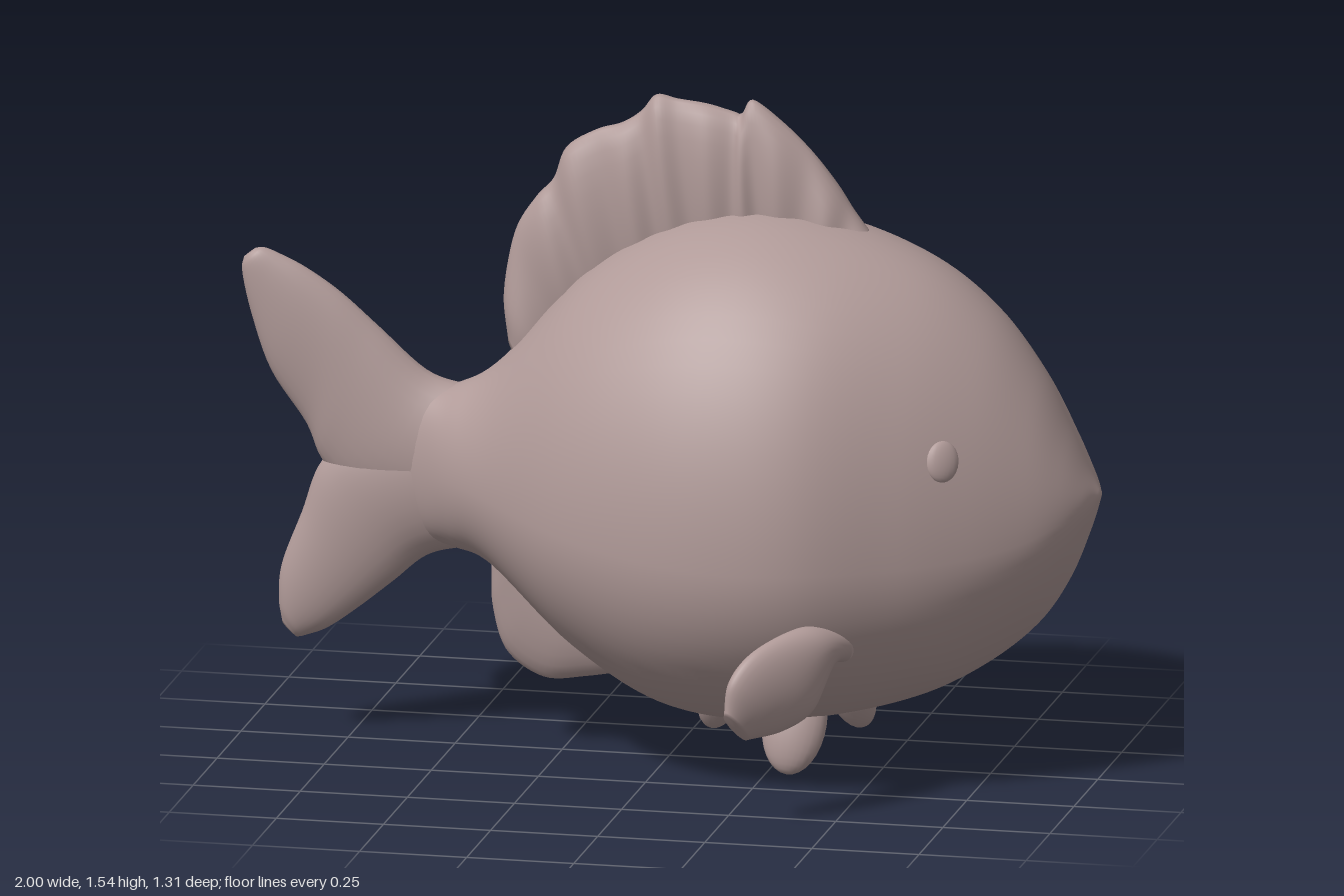
import * as THREE from 'three';

const MIDZ = -0.03; // the body's middle plane
const V = (a) => new THREE.Vector3(...a);
const spline = (pts) => new THREE.CatmullRomCurve3(pts, false, 'catmullrom');

// Closed smooth skin over rings: point(i, j) for ring i, corner j
function skin(rings, sides, point) {
  const pos = [], index = [];
  for (let i = 0; i < rings; i++)
    for (let j = 0; j < sides; j++) pos.push(...point(i, j).toArray());
  for (let i = 0; i < rings - 1; i++)
    for (let j = 0; j < sides; j++) {
      const a = i * sides + j, b = i * sides + (j + 1) % sides;
      index.push(a, a + sides, b, b, a + sides, b + sides);
    }
  const g = new THREE.BufferGeometry();
  g.setAttribute('position', new THREE.Float32BufferAttribute(pos, 3));
  g.setIndex(index);
  g.computeVertexNormals();
  return g;
}

// Fin: rows of [edge point, opposite edge point, half thickness], elliptical in section
function finGeometry(rows, steps = 40, sides = 28) {
  const P = spline(rows.map((r) => V(r[0])));
  const Q = spline(rows.map((r) => V(r[1])));
  const T = spline(rows.map((r) => new THREE.Vector3(r[2], 0, 0)));
  const centre = (u) => P.getPoint(u).add(Q.getPoint(u)).multiplyScalar(0.5);
  const across = P.getPoint(0.5).sub(Q.getPoint(0.5));
  const normal = across.cross(centre(1).sub(centre(0))).normalize();
  return skin(steps + 3, sides, (i, j) => {
    const u = THREE.MathUtils.clamp((i - 1) / steps, 0, 1);
    const size = i === 0 || i === steps + 2 ? 0 : 1; // closes both ends
    const a = (j / sides) * Math.PI * 2;
    const half = P.getPoint(u).sub(Q.getPoint(u)).multiplyScalar(0.5 * size);
    return centre(u).addScaledVector(half, Math.cos(a))
      .addScaledVector(normal, T.getPoint(u).x * size * Math.sin(a));
  });
}

// Body: egg-shaped sections, pinched under the lip
function bodyGeometry() {
  // x, bottom, top, half width, height of widest line
  const stations = [
    [-0.66, 0.51, 0.78, 0.05, 0.645], [-0.58, 0.47, 0.82, 0.085, 0.645],
    [-0.5, 0.455, 0.838, 0.145, 0.64], [-0.4, 0.42, 0.9, 0.225, 0.63],
    [-0.2, 0.25, 1.12, 0.395, 0.6], [0, 0.135, 1.24, 0.49, 0.575],
    [0.2, 0.105, 1.285, 0.53, 0.56], [0.4, 0.125, 1.262, 0.51, 0.56],
    [0.6, 0.18, 1.19, 0.41, 0.56], [0.75, 0.26, 1.08, 0.315, 0.57],
    [0.86, 0.355, 0.94, 0.23, 0.59], [0.93, 0.46, 0.81, 0.16, 0.62],
    [0.975, 0.57, 0.715, 0.09, 0.645], [1, 0.65, 0.668, 0.015, 0.66],
  ];
  const A = spline(stations.map((s) => V(s.slice(0, 3))));
  const B = spline(stations.map((s) => new THREE.Vector3(s[3], s[4], 0)));
  const steps = 90, sides = 64;
  return skin(steps + 3, sides, (i, j) => {
    const u = THREE.MathUtils.clamp((i - 1) / steps, 0, 1);
    const size = i === 0 || i === steps + 2 ? 0 : 1;
    const { x, y: bottom, z: top } = A.getPoint(u);
    const { x: width, y: mid } = B.getPoint(u);
    const a = (j / sides) * Math.PI * 2, c = Math.cos(a), s = Math.sin(a);
    const pinch = c < 0 ? 1 + 0.5 * THREE.MathUtils.smoothstep(x, 0.65, 0.95) : 1;
    const y = mid + size * c * (c > 0 ? top - mid : mid - bottom);
    const z = MIDZ - size * width * Math.sign(s) * Math.abs(s) ** pinch;
    return new THREE.Vector3(x, y, z);
  });
}

export function createModel() {
  const fish = new THREE.Group();
  fish.name = 'fish';
  const material = new THREE.MeshStandardMaterial({ color: 0xb09a98, roughness: 0.8 });
  const add = (name, geometry) => {
    const mesh = new THREE.Mesh(geometry, material);
    mesh.name = name;
    fish.add(mesh);
    return mesh;
  };

  add('body', bodyGeometry());

  // Tail lobes, leaning back to z = 0 at their tips
  const tail = (rows) => finGeometry(rows.map(([px, py, qx, qy, t]) => [
    [px, py, 0.075 * (-1 - px)], [qx, qy, 0.075 * (-1 - qx)], t]));
  add('upperTailLobe', tail([
    [-0.47, 0.83, -0.52, 0.5, 0.09], [-0.57, 0.862, -0.72, 0.56, 0.075],
    [-0.68, 0.96, -0.81, 0.64, 0.06], [-0.77, 1.04, -0.85, 0.73, 0.05],
    [-0.85, 1.095, -0.93, 0.85, 0.042], [-0.91, 1.125, -0.975, 0.98, 0.032],
    [-0.945, 1.138, -0.997, 1.08, 0.022], [-0.965, 1.137, -0.993, 1.115, 0.01],
  ]));
  add('lowerTailLobe', tail([
    [-0.47, 0.455, -0.52, 0.8, 0.09], [-0.57, 0.43, -0.72, 0.72, 0.075],
    [-0.65, 0.365, -0.815, 0.64, 0.06], [-0.73, 0.3, -0.86, 0.52, 0.05],
    [-0.8, 0.25, -0.905, 0.4, 0.042], [-0.85, 0.23, -0.913, 0.32, 0.03],
    [-0.87, 0.225, -0.905, 0.26, 0.012],
  ]));

  // Back fin with a ragged rim and shallow pleats
  const rim = [
    [-0.385, 0.95], [-0.395, 1.06], [-0.37, 1.2], [-0.32, 1.285], [-0.28, 1.33],
    [-0.25, 1.405], [-0.18, 1.45], [-0.12, 1.47], [-0.075, 1.5], [-0.04, 1.54],
    [0.01, 1.533], [0.08, 1.525], [0.14, 1.51], [0.16, 1.507], [0.185, 1.54],
    [0.25, 1.495], [0.32, 1.43], [0.38, 1.355], [0.42, 1.295], [0.46, 1.24],
  ];
  add('backFin', finGeometry(rim.map(([x, y], i) => {
    const u = i / (rim.length - 1);
    const baseY = 0.85 + 0.25 * Math.sin(u * Math.PI * 0.7);
    return [[x, y, -0.045], [-0.31 + 0.72 * u, baseY, -0.045], i % 2 ? 0.062 : 0.05];
  }), 114));

  // Rear belly fin
  const belly = [[-0.42, 0.42], [-0.418, 0.32], [-0.385, 0.215], [-0.3, 0.158],
    [-0.2, 0.165], [-0.1, 0.185], [-0.02, 0.21]];
  add('rearBellyFin', finGeometry(belly.map(([x, y], i) =>
    [[x, y, MIDZ], [-0.34 + 0.055 * i, 0.5, MIDZ], 0.055])));

  // Side fins, each swept back differently
  add('leftSideFin', finGeometry([
    [[0.47, 0.42, 0.36], [0.48, 0.33, 0.34], 0.05],
    [[0.41, 0.44, 0.47], [0.47, 0.34, 0.42], 0.045],
    [[0.33, 0.41, 0.585], [0.44, 0.25, 0.48], 0.04],
    [[0.285, 0.35, 0.64], [0.38, 0.21, 0.53], 0.035],
    [[0.275, 0.27, 0.65], [0.31, 0.2, 0.59], 0.02],
  ]));
  add('rightSideFin', finGeometry([
    [[0.48, 0.43, -0.44], [0.48, 0.34, -0.4], 0.05],
    [[0.42, 0.44, -0.54], [0.43, 0.31, -0.48], 0.045],
    [[0.3, 0.375, -0.615], [0.37, 0.22, -0.51], 0.04],
    [[0.225, 0.3, -0.65], [0.3, 0.165, -0.54], 0.035],
    [[0.2, 0.22, -0.648], [0.25, 0.15, -0.585], 0.02],
  ]));

  // Small stubby fins under the belly
  const stub = (name, root, tip, rx, rz) => {
    const a = V(root), b = V(tip);
    const g = new THREE.SphereGeometry(1, 24, 16);
    g.scale(rx, a.distanceTo(b) / 2, rz);
    const mesh = add(name, g);
    mesh.position.copy(a).add(b).multiplyScalar(0.5);
    mesh.quaternion.setFromUnitVectors(new THREE.Vector3(0, 1, 0), a.sub(b).normalize());
  };
  stub('leftBellyStub', [0.33, 0.24, 0.08], [0.31, 0.012, 0.165], 0.075, 0.045);
  stub('rightBellyStub', [0.36, 0.23, -0.14], [0.4, 0.03, -0.235], 0.055, 0.045);
  stub('rearBellyStub', [0.12, 0.23, -0.16], [0.035, 0, -0.27], 0.055, 0.045);

  // Eyes: low bumps on the head
  for (const side of [1, -1]) {
    const eye = add(side > 0 ? 'leftEye' : 'rightEye', new THREE.SphereGeometry(0.04, 20, 14));
    eye.scale.set(1, 1.2, 0.4);
    eye.position.set(0.7, 0.8, MIDZ + side * 0.312);
    eye.rotation.set(-side * 0.3, side * 0.6, 0);
  }
  return fish;
}
